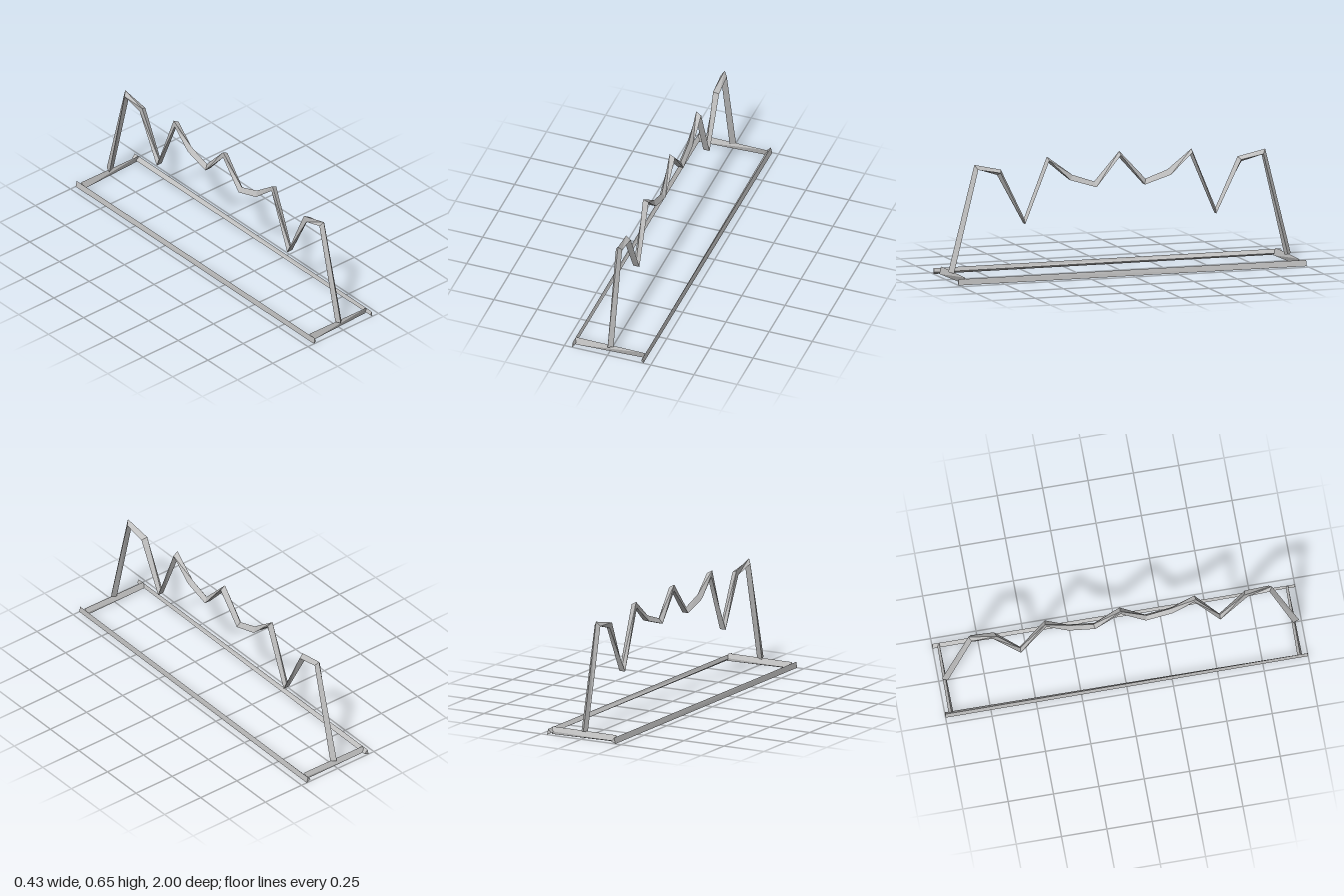
import * as THREE from 'three';

const grey = new THREE.MeshStandardMaterial({ color: 0xc0c0c0, side: THREE.DoubleSide });
grey.name = 'steel grey';

// Skin a list of three-cornered sections into a faceted bar with closed ends
function loft(name, sections) {
  const pos = [];
  const tri = (a, b, c) => pos.push(...a, ...b, ...c);
  for (let i = 0; i < sections.length - 1; i++) {
    const s = sections[i], t = sections[i + 1];
    for (let k = 0; k < 3; k++) {
      const n = (k + 1) % 3;
      tri(s[k], s[n], t[n]);
      tri(s[k], t[n], t[k]);
    }
  }
  const last = sections[sections.length - 1];
  tri(sections[0][2], sections[0][1], sections[0][0]);
  tri(last[0], last[1], last[2]);
  const geo = new THREE.BufferGeometry();
  geo.setAttribute('position', new THREE.Float32BufferAttribute(pos, 3));
  geo.computeVertexNormals();
  const mesh = new THREE.Mesh(geo, grey);
  mesh.name = name;
  return mesh;
}

// Sweep a triangle along a path in the z-y plane; each point is [z, y, twist in degrees]
function sweep(name, path, radius) {
  const sections = path.map(([z, y, twist], i) => {
    const p = new THREE.Vector2(z, y);
    const dir = (j) => new THREE.Vector2(path[j + 1][0] - path[j][0], path[j + 1][1] - path[j][1]).normalize();
    const tangent = new THREE.Vector2();
    if (i > 0) tangent.add(dir(i - 1));
    if (i < path.length - 1) tangent.add(dir(i));
    tangent.normalize();
    // Normal pointing outward from the zigzag, which runs from +z to -z
    const nz = tangent.y, ny = -tangent.x;
    return [90, 210, 330].map((deg) => {
      const a = THREE.MathUtils.degToRad(deg + twist);
      const x = radius * Math.cos(a), n = radius * Math.sin(a);
      return [x, p.y + n * ny, p.x + n * nz];
    });
  });
  return loft(name, sections);
}

export function createModel() {
  const group = new THREE.Group();
  group.name = 'zigzagFrame';

  // Long base rails, slimmer towards the front
  for (const side of [1, -1]) {
    const back = [[0.214, 0, -1], [0.206, 0.033, -1], [0.187, 0.012, -1]];
    const front = [[0.207, 0, 1], [0.202, 0.033, 1], [0.194, 0.012, 1]];
    const mirror = (s) => s.map(([x, y, z]) => [x * side, y, z]);
    group.add(loft(side > 0 ? 'leftRail' : 'rightRail', [mirror(back), mirror(front)]));
  }

  // Cross bars joining the rails, tapering to one side
  for (const [name, z] of [['frontCrossBar', 0.957], ['backCrossBar', -0.965]]) {
    group.add(loft(name, [
      [[-0.2, 0, z + 0.012], [-0.2, 0.04, z - 0.001], [-0.2, 0.01, z - 0.015]],
      [[0.2, 0, z - 0.006], [0.2, 0.04, z + 0.004], [0.2, 0.015, z - 0.008]],
    ]));
  }

  // Upright zigzag: a leg at each end with peaks and dips between
  const half = [
    [0.966, 0.036, 15], [0.826, 0.605, 0], [0.692, 0.573, 30], [0.55, 0.295, 0],
    [0.412, 0.627, 30], [0.283, 0.52, 0], [0.142, 0.475, 0],
  ];
  const path = [...half, [0, 0.635, 30], ...half.map(([z, y, t]) => [-z, y, t]).reverse()];
  group.add(sweep('zigzagBar', path, 0.0205));

  return group;
}
